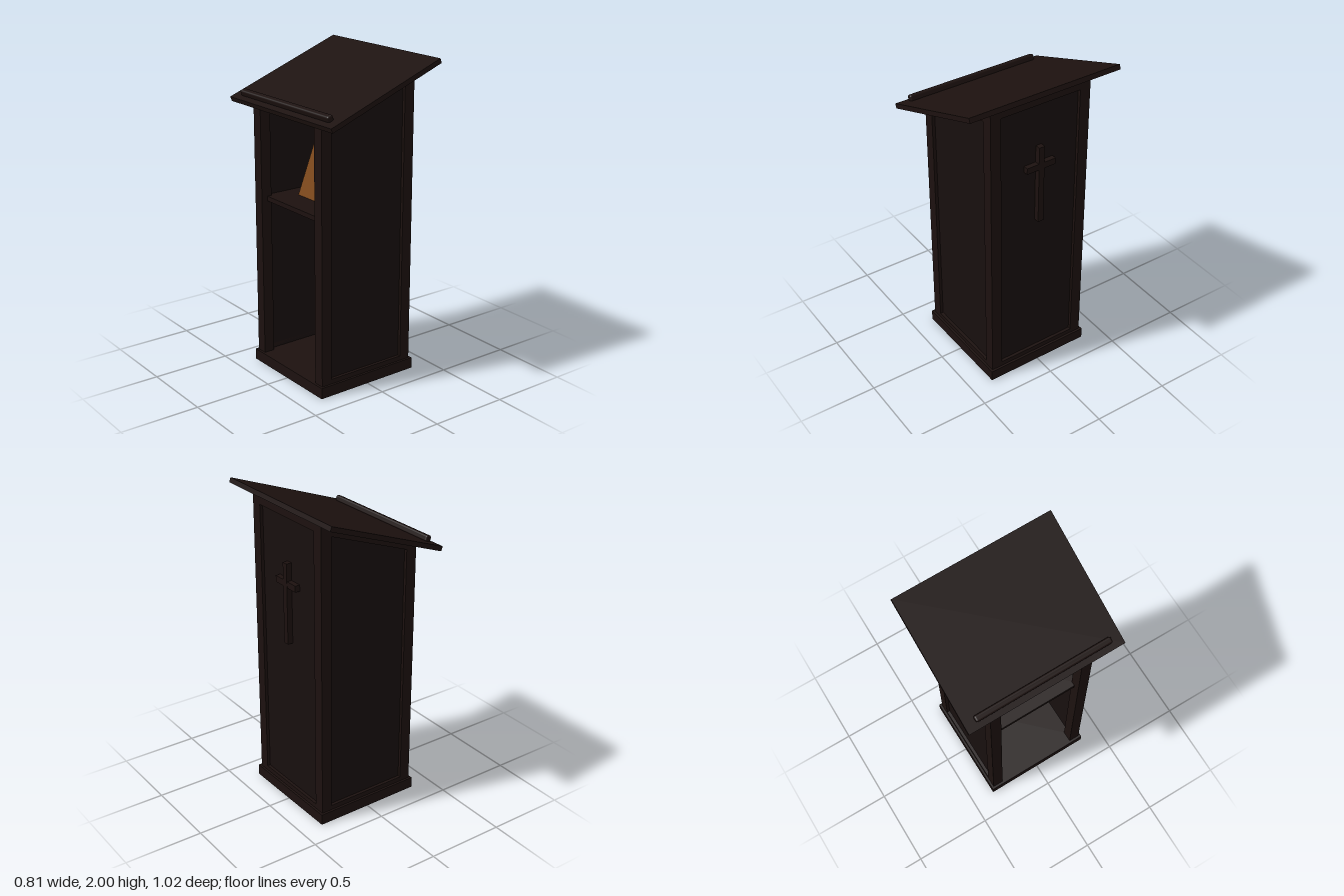
import * as THREE from 'three';
import { RoundedBoxGeometry } from 'three/addons/geometries/RoundedBoxGeometry.js';

const mat = (color) => new THREE.MeshStandardMaterial({ color });
const wood = mat(0x1c110f);
const panelWood = mat(0x180f0e);
const coverBrown = mat(0x8a5020);

const SLOPE = 0.36;
const TOP_Y = 1.838;
const underside = (x) => TOP_Y - 0.016 + Math.tan(SLOPE) * x;

export function createModel() {
  const root = new THREE.Group();
  const lectern = new THREE.Group();
  lectern.name = 'lectern';
  lectern.rotation.y = 0.01;
  root.add(lectern);

  const add = (name, geometry, material = wood) => {
    const mesh = new THREE.Mesh(geometry, material);
    mesh.name = name;
    lectern.add(mesh);
    return mesh;
  };

  // Box given by its limits; bottom and top may be heights or functions of x
  const block = (name, [x0, x1], [bottom, top], [z0, z1], material) => {
    const g = new THREE.BoxGeometry(x1 - x0, 1, z1 - z0);
    g.translate((x0 + x1) / 2, 0, (z0 + z1) / 2);
    const p = g.attributes.position;
    for (let i = 0; i < p.count; i++) {
      const h = p.getY(i) > 0 ? top : bottom;
      p.setY(i, typeof h === 'function' ? h(p.getX(i)) : h);
    }
    g.computeVertexNormals();
    return add(name, g, material);
  };

  // Plinth
  block('plinth', [-0.355, 0.355], [0, 0.07], [-0.355, 0.355]);

  // Corner posts cut to the slope of the desk
  const post = 0.07, half = 0.34;
  const spans = [[-half, -half + post], [half - post, half]];
  for (const sx of spans) for (const sz of spans) block('cornerPost', sx, [0.07, underside], sz);

  // Side panels with top and bottom rails
  const inner = [-half + post, half - post];
  for (const s of [-1, 1]) {
    const range = (a, b) => (s > 0 ? [a, b] : [-b, -a]);
    block('sidePanel', inner, [0.07, underside], range(0.3, 0.32), panelWood);
    block('sideTopRail', inner, [(x) => underside(x) - 0.06, underside], range(0.3, half));
    block('sideBottomRail', inner, [0.07, 0.1], range(0.3, half));
  }

  // Panel facing the audience
  block('facePanel', [0.3, 0.32], [0.07, underside], inner, panelWood);
  block('faceTopRail', [0.3, half], [(x) => underside(x) - 0.06, underside], inner);
  block('faceBottomRail', [0.3, half], [0.07, 0.1], inner);

  // Raised cross
  block('crossUpright', [0.315, 0.355], [1.1, 1.615], [-0.019, 0.019]);
  block('crossArm', [0.315, 0.352], [1.465, 1.505], [-0.1, 0.1]);

  // Inner shelf, reached from the open side
  block('shelf', [-0.3, 0.3], [1.08, 1.11], [-0.3, 0.3]);

  // Book leaning on the shelf, drawn in the z-y plane and extruded along x
  const outline = new THREE.Shape(
    [[0.17, 1.11], [0.3, 1.4], [0.02, 1.55], [-0.18, 1.11]].map(([z, y]) => new THREE.Vector2(-z, y))
  );
  const bookGeo = new THREE.ExtrudeGeometry(outline, { depth: 0.06, bevelEnabled: false });
  bookGeo.rotateY(Math.PI / 2);
  add('leaningBook', bookGeo, coverBrown).position.x = -0.13;

  // Sloping desk top with its rounded book stop
  const desk = add('deskTop', new THREE.BoxGeometry(0.84, 0.03, 1.012));
  desk.position.y = TOP_Y;
  desk.rotation.z = SLOPE;
  const stop = new RoundedBoxGeometry(0.04, 0.04, 0.88, 3, 0.012);
  stop.translate(-0.338 / Math.cos(SLOPE), 0.03, 0);
  const ledge = add('bookStop', stop);
  ledge.position.y = TOP_Y;
  ledge.rotation.z = SLOPE;

  return root;
}
